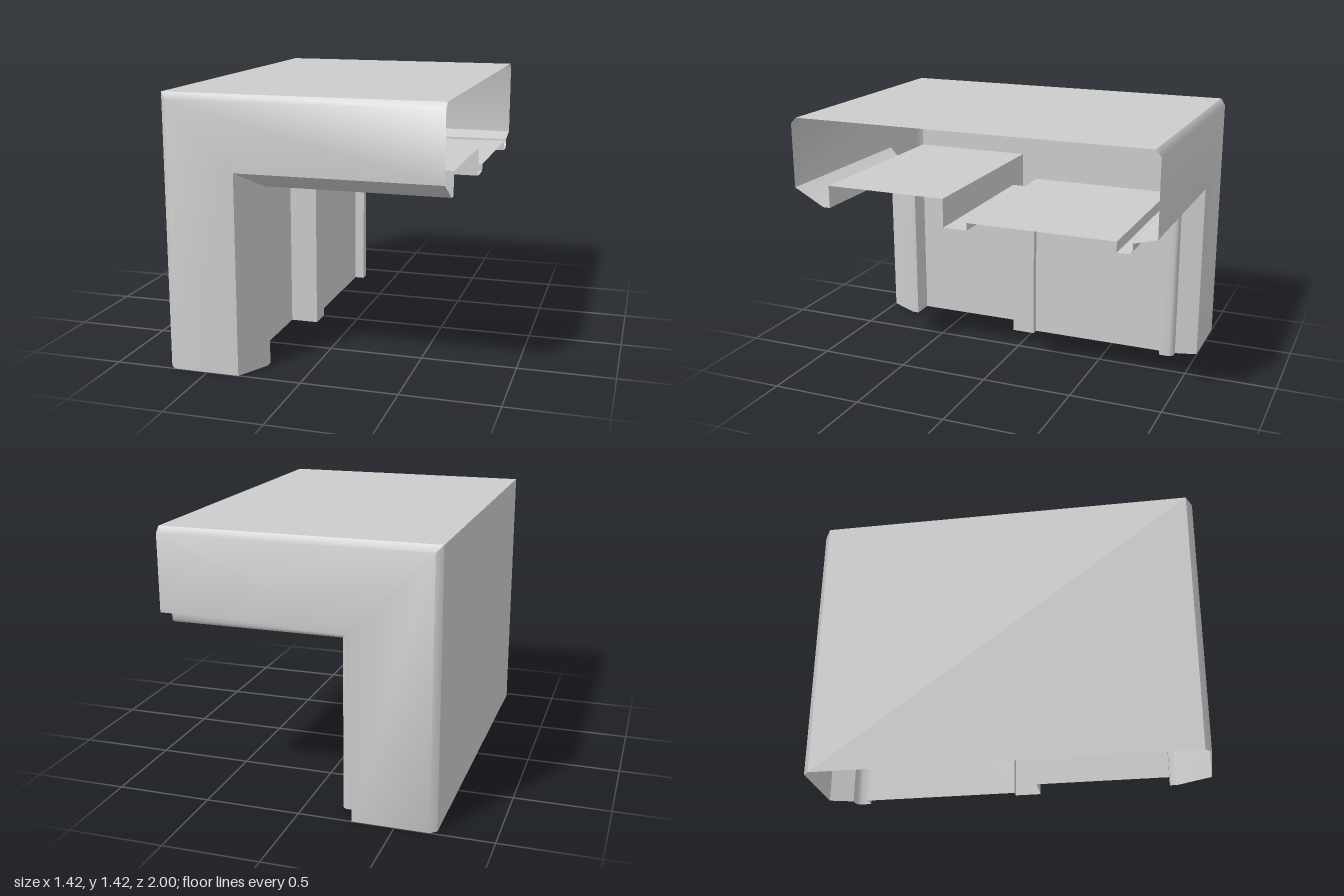
import * as THREE from 'three';
import { toCreasedNormals } from 'three/addons/utils/BufferGeometryUtils.js';

const HALF = 0.71, HEIGHT = 1.42;

// Hollow frame section: [depth from the outer wall, z], front to back
const PROFILE = [
  [0, 0.97], [0.032, 1],                                // front chamfer
  [0.38, 1], [0.472, 0.83], [0.472, 0.79],              // front face and bevelled lip
  [0.35, 0.79], [0.35, 0.12],                           // deep rebate
  [0.502, 0.12], [0.502, -0.012],                       // middle stop
  [0.462, -0.012], [0.462, -0.80],                      // shallow rebate
  [0.518, -0.80], [0.518, -0.855], [0.512, -0.87], [0.497, -0.88], // rounded bead
  [0.462, -0.88], [0.43, -1],                           // sloped back lip
  [0.032, -1], [0, -0.97],                              // back face and chamfer
];

// Sweeps the section up the post, round the mitre and along the top rail
function mitredFrame(profile) {
  const rings = [
    profile.map(([d, z]) => [-HALF + d, 0, z]),
    profile.map(([d, z]) => [-HALF + d, HEIGHT - d, z]),
    profile.map(([d, z]) => [HALF, HEIGHT - d, z]),
  ];
  const n = profile.length, positions = [], index = [];
  rings.forEach((ring) => ring.forEach((p) => positions.push(...p)));
  for (let r = 0; r < rings.length - 1; r++) {
    for (let i = 0; i < n; i++) {
      const a = r * n + i, b = r * n + (i + 1) % n;
      index.push(a, b, b + n, a, b + n, a + n);
    }
  }
  const geometry = new THREE.BufferGeometry();
  geometry.setAttribute('position', new THREE.Float32BufferAttribute(positions, 3));
  geometry.setIndex(index);
  return toCreasedNormals(geometry, THREE.MathUtils.degToRad(45));
}

export function createModel() {
  const group = new THREE.Group();
  group.name = 'frameCorner';
  // Both ends are open, so the inside of the shell shows
  const material = new THREE.MeshStandardMaterial({ color: 0xcccccc, side: THREE.DoubleSide });
  const frame = new THREE.Mesh(mitredFrame(PROFILE), material);
  frame.name = 'mitredFrame';
  group.add(frame);
  return group;
}
